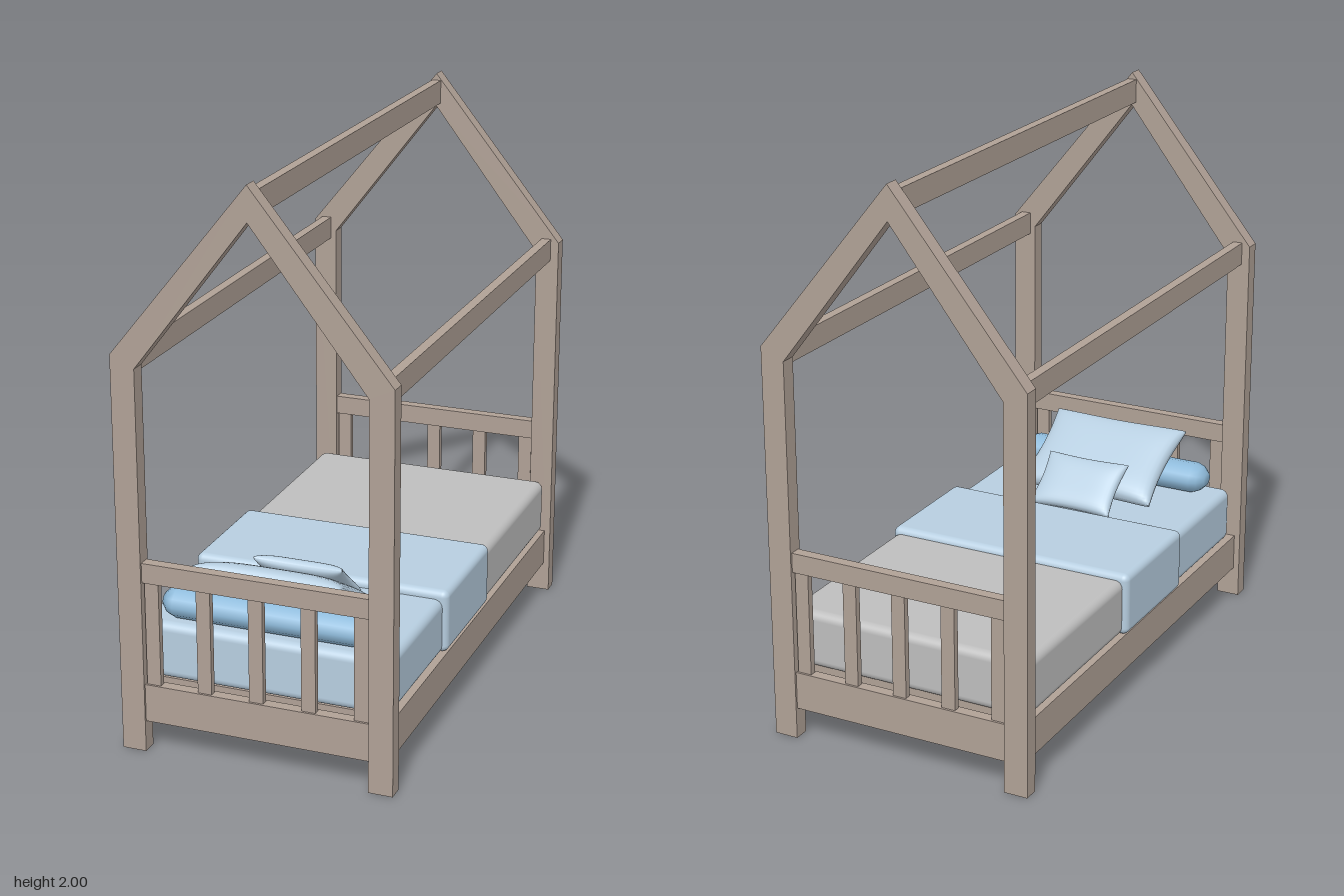
import * as THREE from 'three';
import { RoundedBoxGeometry } from 'three/addons/geometries/RoundedBoxGeometry.js';

const material = (name, color) => {
  const m = new THREE.MeshStandardMaterial({ color });
  m.name = name;
  return m;
};

export function createModel() {
  const wood = material('wood', 0xb0a196);
  const linen = material('light blue linen', 0xb7cee0);
  const bolsterBlue = material('bolster blue', 0x8fbbdb);
  const grey = material('grey cover', 0xbebebe);

  const model = new THREE.Group();
  model.name = 'houseBed';

  const add = (name, geometry, mat, parent = model) => {
    const mesh = new THREE.Mesh(geometry, mat);
    mesh.name = name;
    parent.add(mesh);
    return mesh;
  };

  // Box given by its limits on each axis; rounded when a radius is passed
  const block = (name, mat, [x0, x1], [y0, y1], [z0, z1], radius = 0, parent = model) => {
    const size = [x1 - x0, y1 - y0, z1 - z0];
    const geometry = radius
      ? new RoundedBoxGeometry(...size, 4, radius)
      : new THREE.BoxGeometry(...size);
    const mesh = add(name, geometry, mat, parent);
    mesh.position.set((x0 + x1) / 2, (y0 + y1) / 2, (z0 + z1) / 2);
    return mesh;
  };

  // House-shaped end frames with railing
  const outline = new THREE.Shape([
    [-0.485, 0], [-0.4, 0], [-0.4, 1.36], [0, 1.88], [0.4, 1.36], [0.4, 0],
    [0.485, 0], [0.485, 1.4], [0, 2], [-0.485, 1.4],
  ].map(([x, y]) => new THREE.Vector2(x, y)));

  for (const side of [1, -1]) {
    const end = new THREE.Group();
    end.name = side > 0 ? 'headEnd' : 'footEnd';
    end.position.z = side * 0.88;
    model.add(end);
    const house = new THREE.ExtrudeGeometry(outline, { depth: 0.056, bevelEnabled: false });
    house.translate(0, 0, -0.028);
    add('houseFrame', house, wood, end);
    block('topRail', wood, [-0.4, 0.4], [0.615, 0.685], [-0.02, 0.02], 0, end);
    block('bottomRail', wood, [-0.4, 0.4], [0.11, 0.245], [-0.02, 0.02], 0, end);
    for (let i = -2; i <= 2; i++) {
      const x = i * 0.185;
      block('railingSlat', wood, [x - 0.025, x + 0.025], [0.245, 0.615], [-0.012, 0.012], 0, end);
    }
  }

  // Long beams and side rails
  const span = [-0.855, 0.855];
  block('ridgeBeam', wood, [-0.017, 0.017], [1.89, 1.975], span);
  for (const s of [1, -1]) {
    const between = (a, b) => (s > 0 ? [a, b] : [-b, -a]);
    block('eaveBeam', wood, between(0.42, 0.455), [1.33, 1.412], span);
    block('sideRail', wood, between(0.428, 0.463), [0.11, 0.245], span);
    block('slatSupport', wood, between(0.4, 0.428), [0.175, 0.205], span);
  }

  // Slatted base
  block('centreBeam', wood, [-0.02, 0.02], [0.165, 0.205], span);
  for (let i = 0; i < 12; i++) {
    const z = -0.77 + i * 0.14;
    block('baseSlat', wood, [-0.428, 0.428], [0.205, 0.23], [z - 0.025, z + 0.025]);
  }

  // Mattress and covers
  block('mattress', linen, [-0.448, 0.448], [0.243, 0.446], [-0.835, 0.832], 0.03);
  block('footCover', grey, [-0.457, 0.457], [0.249, 0.455], [-0.848, -0.12], 0.03);
  block('blanket', linen, [-0.475, 0.467], [0.247, 0.476], [-0.14, 0.323], 0.025);

  // Bolster with tapered ends
  const profile = [[0, -0.385], [0.03, -0.385], [0.058, -0.362], [0.07, -0.335],
    [0.07, 0.335], [0.058, 0.362], [0.03, 0.385], [0, 0.385]]
    .map(([r, y]) => new THREE.Vector2(r, y));
  const roll = new THREE.LatheGeometry(profile, 12);
  roll.rotateZ(Math.PI / 2);
  roll.scale(1, 0.8, 1);
  add('bolster', roll, bolsterBlue).position.set(0, 0.5, 0.75);

  // Cushion: a sphere squared off in plan, with pinched corners
  const cushion = (name, width, length, thick, y, z, tilt) => {
    const geometry = new THREE.BoxGeometry(2, 2, 2, 20, 8, 20);
    const p = geometry.attributes.position;
    for (let i = 0; i < p.count; i++) {
      // Ease the grid towards the edges so that the rim is round
      const u = Math.sin(p.getX(i) * Math.PI / 2);
      const v = Math.sin(p.getZ(i) * Math.PI / 2);
      const puff = Math.pow(Math.max(0, (1 - u ** 4) * (1 - v ** 4)), 0.42);
      p.setXYZ(i,
        u * width / 2 * (1 - 0.07 * (1 - v * v)),
        p.getY(i) * thick / 2 * (0.07 + 0.93 * puff),
        v * length / 2 * (1 - 0.07 * (1 - u * u)));
    }
    geometry.computeVertexNormals();
    const mesh = add(name, geometry, linen);
    mesh.position.set(0, y, z);
    mesh.rotation.x = -tilt;
    return mesh;
  };
  cushion('largePillow', 0.54, 0.375, 0.1, 0.56, 0.643, 0.51);
  cushion('smallPillow', 0.325, 0.225, 0.06, 0.522, 0.44, 0.69);

  return model;
}
